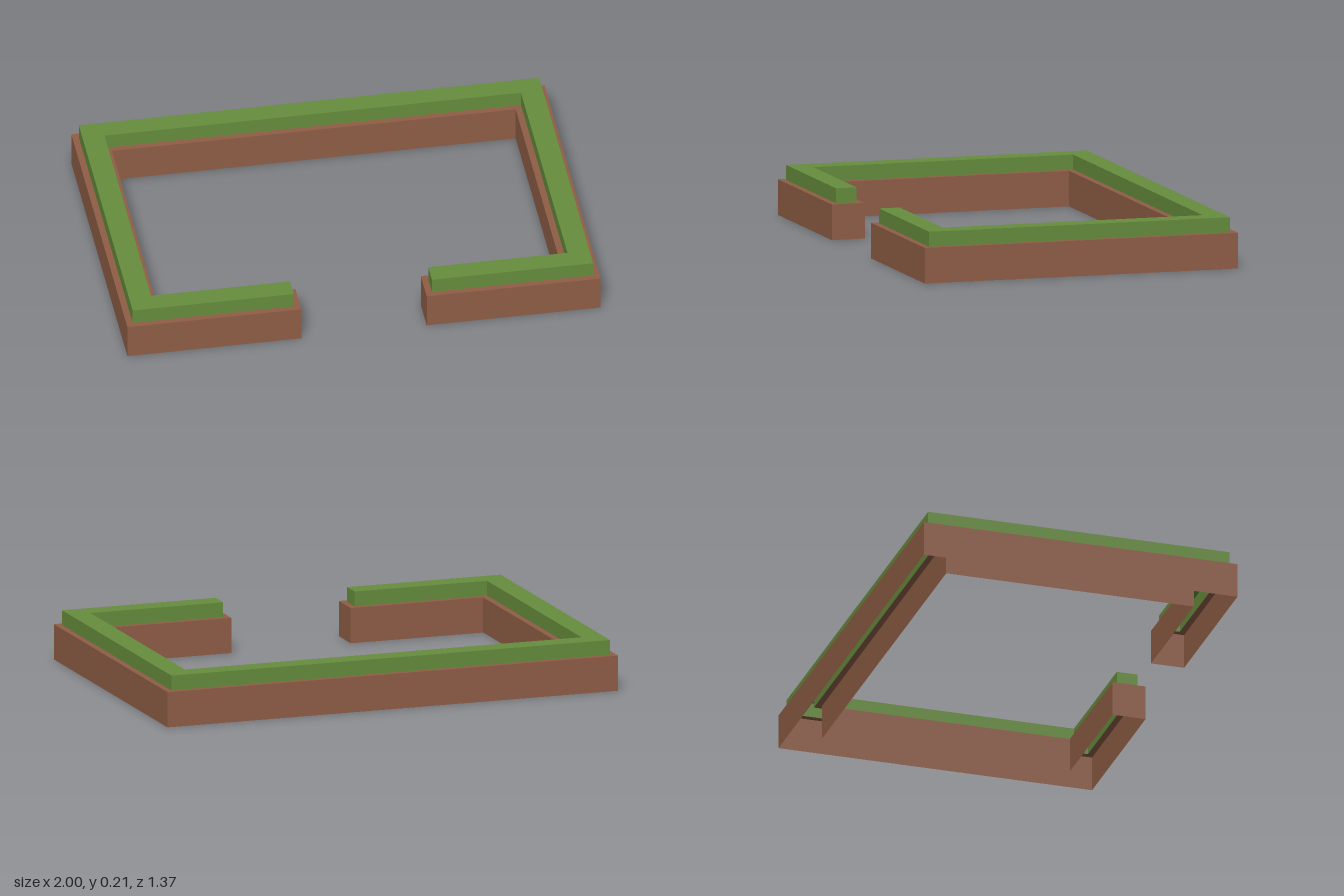
import * as THREE from 'three';

const BASE_HEIGHT = 0.15;
const TOP_HEIGHT = 0.213;
const INSET = 0.027;

// C-shaped outline, counter-clockwise, drawn in plan (second axis points to the back)
function outline(inset) {
  const X = 1 - inset, Z = 0.685 - inset;          // outer edge
  const x = 0.853 + inset, z = 0.541 + inset;      // inner edge
  const g = 0.265 + inset;                         // front gap
  return [
    [g, -Z], [X, -Z], [X, Z], [-X, Z], [-X, -Z], [-g, -Z],
    [-g, -z], [-x, -z], [-x, z], [x, z], [x, -z], [g, -z],
  ].map(([a, b]) => new THREE.Vector2(a, b));
}

// Upright faces following a closed outline, open at top and bottom
function wallGeometry(points, low, high) {
  const position = [];
  points.forEach((a, i) => {
    const b = points[(i + 1) % points.length];
    position.push(
      a.x, a.y, low, b.x, b.y, low, b.x, b.y, high,
      a.x, a.y, low, b.x, b.y, high, a.x, a.y, high,
    );
  });
  const geometry = new THREE.BufferGeometry();
  geometry.setAttribute('position', new THREE.Float32BufferAttribute(position, 3));
  geometry.computeVertexNormals();
  return geometry;
}

// Flat face at a given height, with an optional hole
function capGeometry(points, height, hole) {
  const shape = new THREE.Shape(points);
  if (hole) shape.holes.push(new THREE.Path(hole));
  return new THREE.ShapeGeometry(shape).translate(0, 0, height);
}

export function createModel() {
  const model = new THREE.Group();
  model.name = 'hedgePlanter';

  const brown = new THREE.MeshStandardMaterial({ color: 0x8f5e46, side: THREE.DoubleSide });
  brown.name = 'brown planter';
  const green = new THREE.MeshStandardMaterial({ color: 0x668d3c, side: THREE.DoubleSide });
  green.name = 'hedge green';

  const add = (name, geometry, material) => {
    const mesh = new THREE.Mesh(geometry.rotateX(-Math.PI / 2), material);
    mesh.name = name;
    model.add(mesh);
  };

  const outer = outline(0);
  const inner = outline(INSET);

  // Planter: walls open underneath, with a narrow rim around the hedge
  add('planterWalls', wallGeometry(outer, 0, BASE_HEIGHT), brown);
  add('planterRim', capGeometry(outer, BASE_HEIGHT, inner), brown);

  // Hedge rising from the rim
  add('hedgeSides', wallGeometry(inner, BASE_HEIGHT, TOP_HEIGHT), green);
  add('hedgeTop', capGeometry(inner, TOP_HEIGHT), green);

  return model;
}
